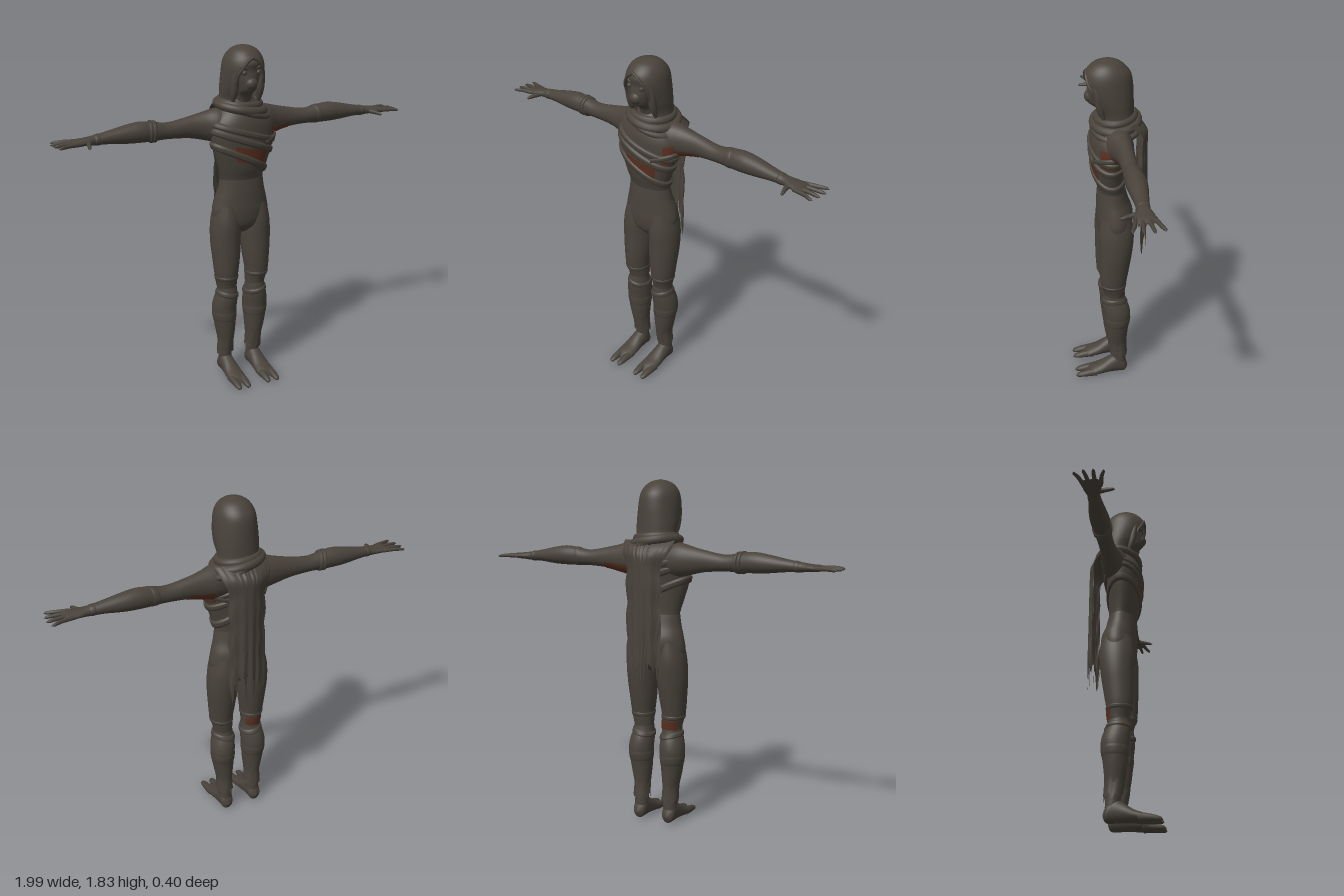
import * as THREE from 'three';

const cloth = new THREE.MeshStandardMaterial({ color: 0x48423a, side: THREE.DoubleSide });
cloth.name = 'dark cloth';
const skin = new THREE.MeshStandardMaterial({ color: 0x5a2f20, side: THREE.DoubleSide });
skin.name = 'bare red skin';

// Smoothly samples rows of [t, centre1, centre2, radius1, radius2] at t
function sample(rows, t) {
  let i = 0;
  while (i < rows.length - 2 && t > rows[i + 1][0]) i++;
  const p = rows[i], q = rows[i + 1], d = q[0] - p[0];
  const f = THREE.MathUtils.clamp((t - p[0]) / d, 0, 1);
  const slope = (k, c) => {
    const a = rows[Math.max(k - 1, 0)], b = rows[Math.min(k + 1, rows.length - 1)];
    return (b[c] - a[c]) / (b[0] - a[0]) * d;
  };
  return [1, 2, 3, 4].map((c) => {
    const h = f * f * (3 - 2 * f);
    return p[c] + (q[c] - p[c]) * h + slope(i, c) * f * (1 - f) ** 2 - slope(i + 1, c) * f * f * (1 - f);
  });
}

// Skin over elliptical cross-sections along an axis; partial angles give patches
function loft(rows, o = {}) {
  const { axis = 'y', mirror = false, nt = 28, na = 28, a0 = () => 0, grow = () => 0, tilt = () => 0 } = o;
  const t0 = o.t0 ?? rows[0][0], t1 = o.t1 ?? rows[rows.length - 1][0];
  const from = o.from ?? 0, to = o.to ?? Math.PI * 2;
  const closed = to - from > 6.28 && !o.a0;
  const cols = closed ? na : na + 1, pos = [], idx = [];
  for (let i = 0; i <= nt; i++) {
    for (let j = 0; j < cols; j++) {
      const base = t0 + (t1 - t0) * i / nt, open = a0(base);
      const a = from + open + (to - from - 2 * open) * j / na;
      const t = base + tilt(a), [c1, c2, r1, r2] = sample(rows, t), g = grow(i / nt);
      const u = c1 + (Math.max(r1, 0.001) + g) * Math.sin(a);
      const w = c2 + (Math.max(r2, 0.001) + g) * Math.cos(a);
      const p = axis === 'y' ? [u, t, w] : axis === 'x' ? [t, w, u] : [w, u, t];
      pos.push(mirror ? -p[0] : p[0], p[1], p[2]);
    }
  }
  for (let i = 0; i < nt; i++) {
    for (let j = 0; j < na; j++) {
      const k = (j + 1) % cols, a = i * cols + j, b = i * cols + k, c = a + cols, d = b + cols;
      if (mirror) idx.push(a, d, b, a, c, d);
      else idx.push(a, b, d, a, d, c);
    }
  }
  const g = new THREE.BufferGeometry();
  g.setAttribute('position', new THREE.Float32BufferAttribute(pos, 3));
  g.setIndex(idx);
  g.computeVertexNormals();
  return g;
}

const torsoRows = [
  [1.08, 0, -0.02, 0.13, 0.08], [1.13, 0, -0.015, 0.119, 0.07], [1.2, 0, -0.005, 0.135, 0.08],
  [1.3, 0, 0, 0.165, 0.09], [1.38, 0, -0.005, 0.18, 0.1], [1.44, 0, -0.012, 0.17, 0.104],
  [1.5, 0, -0.03, 0.13, 0.1], [1.54, 0, -0.04, 0.09, 0.078], [1.58, 0, -0.04, 0.06, 0.06]];
const pelvisRows = [
  [0.84, 0, -0.035, 0.05, 0.045], [0.88, 0, -0.03, 0.135, 0.08], [0.95, 0, -0.03, 0.16, 0.095],
  [1.02, 0, -0.03, 0.15, 0.095], [1.08, 0, -0.02, 0.132, 0.083], [1.14, 0, -0.015, 0.122, 0.073]];
const thighRows = [
  [0.5, 0.085, -0.02, 0.05, 0.05], [0.55, 0.087, -0.02, 0.055, 0.058], [0.6, 0.092, -0.015, 0.062, 0.068],
  [0.7, 0.09, -0.02, 0.074, 0.08], [0.8, 0.09, -0.027, 0.081, 0.088], [0.9, 0.088, -0.03, 0.078, 0.093],
  [1, 0.085, -0.03, 0.06, 0.08]];
const shinRows = [
  [0.08, 0.087, -0.05, 0.037, 0.036], [0.14, 0.087, -0.045, 0.038, 0.04], [0.2, 0.087, -0.038, 0.043, 0.05],
  [0.3, 0.092, -0.035, 0.058, 0.062], [0.4, 0.095, -0.037, 0.067, 0.072], [0.46, 0.09, -0.028, 0.064, 0.07],
  [0.5, 0.086, -0.02, 0.056, 0.06], [0.56, 0.086, -0.02, 0.05, 0.05]];
const footRows = [
  [-0.097, 0.042, 0.088, 0.003, 0.003], [-0.085, 0.045, 0.088, 0.035, 0.03], [-0.05, 0.065, 0.088, 0.061, 0.038],
  [0, 0.055, 0.088, 0.05, 0.042], [0.06, 0.035, 0.088, 0.033, 0.048], [0.12, 0.022, 0.088, 0.021, 0.046],
  [0.145, 0.015, 0.088, 0.003, 0.02]];
const armRows = [
  [0.05, -0.03, 1.42, 0.07, 0.09], [0.14, -0.035, 1.425, 0.072, 0.088], [0.2, -0.045, 1.425, 0.055, 0.074],
  [0.28, -0.05, 1.425, 0.043, 0.056], [0.4, -0.05, 1.42, 0.041, 0.042], [0.48, -0.05, 1.425, 0.045, 0.049],
  [0.55, -0.05, 1.428, 0.05, 0.052], [0.62, -0.05, 1.425, 0.046, 0.046], [0.72, -0.046, 1.42, 0.035, 0.031],
  [0.79, -0.043, 1.415, 0.03, 0.024], [0.84, -0.04, 1.414, 0.044, 0.018], [0.89, -0.038, 1.413, 0.046, 0.014],
  [0.91, -0.038, 1.412, 0.035, 0.003]];
const hoodRows = [
  [1.5, 0, -0.045, 0.113, 0.09], [1.56, 0, -0.038, 0.108, 0.09], [1.62, 0, -0.02, 0.111, 0.106],
  [1.7, 0, 0, 0.108, 0.122], [1.76, 0, 0.004, 0.098, 0.114], [1.8, 0, 0.006, 0.075, 0.083],
  [1.822, 0, 0.006, 0.042, 0.046], [1.831, 0, 0.006, 0.002, 0.002]];
const faceRows = [
  [1.52, 0, -0.03, 0.06, 0.06], [1.58, 0, 0, 0.048, 0.055], [1.61, 0, 0.02, 0.05, 0.082],
  [1.65, 0, 0.02, 0.062, 0.092], [1.68, 0, 0.015, 0.076, 0.092], [1.71, 0, 0.015, 0.084, 0.088],
  [1.75, 0, 0.01, 0.085, 0.097], [1.79, 0, 0, 0.06, 0.06]];

const bulge = (h) => (f) => h * Math.sqrt(Math.max(0, 1 - (2 * f - 1) ** 4)) - 0.002;

export function createModel() {
  const model = new THREE.Group();
  model.name = 'hoodedFigure';
  const add = (name, geometry, material = cloth, parent = model) => {
    const mesh = new THREE.Mesh(geometry, material);
    mesh.name = name;
    parent.add(mesh);
    return mesh;
  };
  const band = (name, rows, t, width, height, o = {}) =>
    add(name, loft(rows, { t0: t - width / 2, t1: t + width / 2, nt: 6, na: 40, grow: bulge(height), ...o }));

  // Body, with bare skin showing between the chest wraps
  add('torso', loft(torsoRows, { na: 40 }));
  add('pelvis', loft(pelvisRows, { na: 40 }));
  add('chestSkin', loft(torsoRows, { t0: 1.23, t1: 1.31, from: -0.48, to: 0.7, nt: 10, tilt: (a) => -0.04 * a, grow: () => 0.003 }), skin);
  add('sideSkin', loft(torsoRows, { t0: 1.31, t1: 1.41, from: 0.9, to: 2.2, nt: 10, grow: () => 0.003 }), skin);
  [[1.25, 0.045], [1.34, 0.04], [1.385, 0.035]].forEach(([y, w], i) =>
    band('chestWrap' + i, torsoRows, y, w, 0.013, { tilt: (a) => -(0.075 - i * 0.01) * Math.sin(a) }));
  band('shoulderWrap', torsoRows, 1.33, 0.032, 0.015, { from: 0.5, to: 2.8, tilt: (a) => 0.06 * Math.sin(a) - 0.03 });
  band('waistSeam', torsoRows, 1.125, 0.02, 0.006);

  // Arms, hands, legs and feet on both sides
  for (const mirror of [false, true]) {
    const side = mirror ? 'right' : 'left';
    const limb = (name, rows, o = {}, m = cloth) => add(side + name, loft(rows, { mirror, ...o }), m);
    limb('Arm', armRows, { axis: 'x', nt: 48 });
    for (let i = 0; i < 4; i++) {
      const z = -0.075 + i * 0.026, end = 0.998 - 0.012 * Math.abs(i - 1.4), spread = (i - 1.5) * 0.01;
      limb('Finger' + i, [[0.86, z, 1.413, 0.011, 0.011], [0.93, z + spread, 1.414, 0.01, 0.01],
        [end - 0.01, z + 2 * spread, 1.411, 0.007, 0.007], [end, z + 2 * spread, 1.41, 0.001, 0.001]], { axis: 'x', nt: 10, na: 8 });
    }
    limb('Thumb', [[-0.03, 1.412, 0.815, 0.014, 0.018], [0.02, 1.408, 0.828, 0.011, 0.011],
      [0.055, 1.404, 0.837, 0.008, 0.008], [0.067, 1.402, 0.838, 0.001, 0.001]], { axis: 'z', nt: 10, na: 10 });
    limb('Thigh', thighRows);
    limb('Shin', shinRows);
    limb('Foot', footRows, { axis: 'z' });
    [0.062, 0.116].forEach((x, i) => limb('Toe' + i, [[0.08, 0.026, x, 0.024, 0.022], [0.14, 0.02, x, 0.019, 0.02],
      [0.18, 0.014, x, 0.013, 0.016], [0.195, 0.01, x, 0.009, 0.009], [0.2, 0.009, x, 0.001, 0.001]], { axis: 'z', nt: 14, na: 14 }));
    band(side + 'KneeWrap', shinRows, 0.49, 0.03, 0.008, { mirror, tilt: (a) => 0.012 * Math.sin(a) });
    band(side + 'ThighHem', thighRows, 0.59, 0.025, 0.005, { mirror });
    band(side + 'CalfWrap', shinRows, 0.36, 0.06, 0.004, { mirror });
    band(side + 'WristWrap', armRows, 0.77, 0.03, 0.004, { mirror, axis: 'x' });
    // Frayed trouser hem
    limb('Hem', shinRows, { t0: 0.13, t1: 0.21, nt: 5, na: 30, grow: (f) => 0.009 * (1 - f),
      tilt: (a) => 0.012 * Math.sin(a * 7) + 0.008 * Math.sin(a * 11) });
  }
  add('armpitSkin', loft(armRows, { axis: 'x', t0: 0.15, t1: 0.29, from: 2.1, to: 4.3, nt: 10, grow: () => 0.003 }), skin);
  add('kneeSkin', loft(thighRows, { mirror: true, t0: 0.525, t1: 0.575, from: 2.2, to: 4.1, nt: 6, grow: () => 0.004 }), skin);
  for (const x of [0.47, 0.49]) {
    band('elbowWrap', armRows, x, 0.022, 0.009, { mirror: true, axis: 'x', tilt: (a) => 0.008 * Math.sin(a) });
  }
  band('leftElbowWrap', armRows, 0.47, 0.04, 0.004, { axis: 'x', tilt: (a) => 0.012 * Math.sin(a) });

  // Head inside an open hood
  add('face', loft(faceRows));
  const opening = (t) => 0.72 * Math.sqrt(THREE.MathUtils.clamp((1.775 - t) / 0.09, 0, 1));
  add('hood', loft(hoodRows, { nt: 48, na: 40, a0: opening }));
  for (const s of [-1, 1]) {
    const rim = [];
    for (let i = 0; i <= 14; i++) {
      const t = 1.53 + 0.245 * i / 14, [cx, cz, rx, rz] = sample(hoodRows, t), a = opening(t);
      rim.push(new THREE.Vector3(s * (cx + rx * Math.sin(a)), t, cz + rz * Math.cos(a)));
    }
    add('hoodRim', new THREE.TubeGeometry(new THREE.CatmullRomCurve3(rim), 28, 0.008, 8));
    add('eye', new THREE.SphereGeometry(0.013, 14, 10).translate(s * 0.04, 1.7, 0.093));
    add('brow', new THREE.CapsuleGeometry(0.009, 0.035, 4, 10).rotateZ(s * 1.85).translate(s * 0.042, 1.725, 0.094));
    add('hairLock', loft([[1.53, s * 0.075, 0.03, 0.004, 0.004], [1.6, s * 0.073, 0.05, 0.02, 0.02],
      [1.7, s * 0.072, 0.068, 0.016, 0.018], [1.76, s * 0.04, 0.09, 0.012, 0.012]], { nt: 14, na: 12 }));
  }
  add('muzzle', new THREE.SphereGeometry(1, 20, 14).scale(0.036, 0.036, 0.04).translate(0, 1.645, 0.082));

  // Scarf folds around the neck
  [[0, 1.535, 0.105, 0.095, 0.022, -0.08], [0.005, 1.512, 0.122, 0.11, 0.024, -0.16],
    [0.02, 1.495, 0.135, 0.115, 0.016, -0.28]].forEach(([x, y, rx, rz, r, roll], i) => {
    add('scarfFold' + i, new THREE.TorusGeometry(1, r / 0.11, 12, 48).rotateX(Math.PI / 2)
      .scale(rx, 0.11, rz).rotateX(0.1).rotateZ(roll).translate(x, y, -0.035));
  });

  // Ragged cape: a curved sheet whose columns end at uneven heights
  let seed = 7;
  const random = () => (seed = (seed * 16807) % 2147483647) / 2147483647;
  const columns = 36, lengths = [];
  for (let j = 0; j <= columns; j++) lengths.push(0.74 + 0.2 * random() + (j % 3 === 0 ? 0.06 : 0));
  const cape = new THREE.PlaneGeometry(2, 1, columns, 30);
  const p = cape.attributes.position;
  for (let k = 0; k < p.count; k++) {
    const s = p.getX(k), v = 0.5 - p.getY(k);
    const bottom = lengths[k % (columns + 1)];
    const half = 0.1 + 0.045 * Math.max(0, 1 - v * 4) ** 1.5;
    const lean = 0.07 * Math.max(0, 1 - v * 8) ** 2;
    p.setXYZ(k, 0.012 + s * half + 0.006 * Math.sin(v * 23) * s, 1.525 + (bottom - 1.525) * v,
      -0.198 + 0.04 * s * s + lean + 0.005 * Math.sin(s * 14) * v);
  }
  cape.computeVertexNormals();
  add('cape', cape);

  return model;
}
